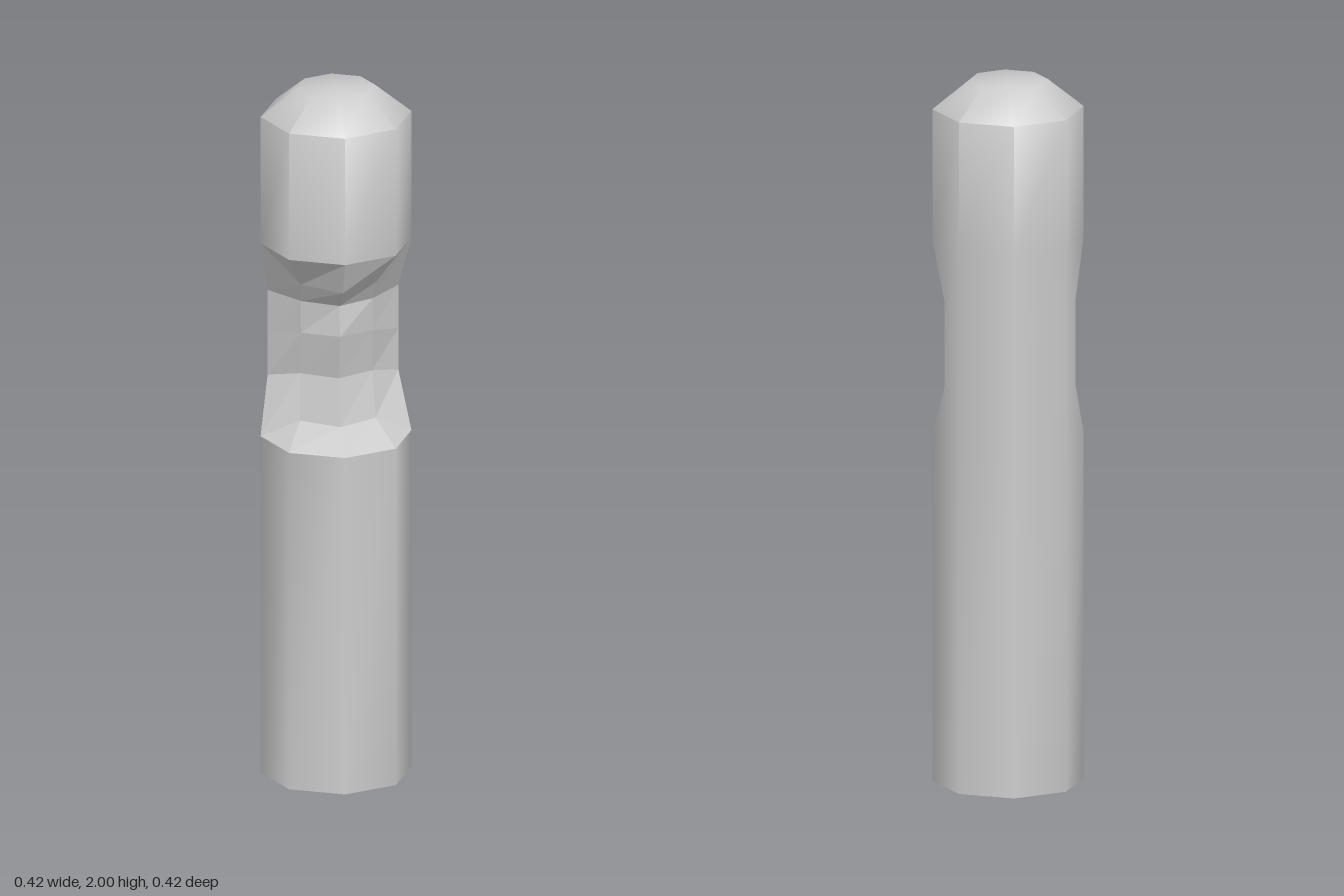
import * as THREE from 'three';
import { toCreasedNormals } from 'three/addons/utils/BufferGeometryUtils.js';

const SIDES = 8, RADIUS = 0.21;

// Point on the octagonal ring; column 0 is -x, 2 is the front, 4 is +x, 6 is the back
const ringPoint = (col, y, r = RADIUS) => {
  const a = (col - 2) * Math.PI / 4;
  return [r * Math.sin(a), y, r * Math.cos(a)];
};
const ring = (y, r) => Array.from({ length: SIDES }, (_, c) => ringPoint(c, y, r));

// Cross-section through the notch: side rim, shoulder and centre ridge, mirrored in x
const notchRing = (side, shoulder, ridge) => {
  const flip = ([x, y, z]) => [-x, y, z];
  const back = [5, 6, 7].map(c => ringPoint(c, c === 6 ? ridge[1] : side[1]));
  return [flip(side), flip(shoulder), ridge, shoulder, side, ...back];
};

// Skin between neighbouring cross-sections, over a range of columns
function skin(rows, from, to, out = []) {
  const same = (p, q) => p.every((v, i) => Math.abs(v - q[i]) < 1e-6);
  const tri = (a, b, c) => {
    if (!same(a, b) && !same(b, c) && !same(c, a)) out.push(...a, ...b, ...c);
  };
  for (let i = 0; i + 1 < rows.length; i++) {
    for (let j = from; j < to; j++) {
      const k = (j + 1) % SIDES;
      const [a, b, c, d] = [rows[i][j], rows[i][k], rows[i + 1][k], rows[i + 1][j]];
      tri(a, b, c);
      tri(a, c, d);
    }
  }
  return out;
}

function toGeometry(points) {
  const g = new THREE.BufferGeometry();
  g.setAttribute('position', new THREE.Float32BufferAttribute(points, 3));
  g.computeVertexNormals();
  return g;
}

export function createModel() {
  const group = new THREE.Group();
  group.name = 'notchedPost';
  const add = (name, geometry, flatShading = false) => {
    const mesh = new THREE.Mesh(geometry, new THREE.MeshStandardMaterial({ color: 0xcccccc, flatShading }));
    mesh.name = name;
    group.add(mesh);
  };

  // Notch sections from the lower lip up to the upper overhang
  const lower = ring(0.985), upper = ring(1.55);
  const middle = [
    notchRing(lower[4], [0.105, 1.04, 0.04], [0, 1.04, 0.108]),
    notchRing([0.182, 1.14, -0.07], [0.1, 1.165, 0], [0, 1.17, 0.07]),
    notchRing([0.182, 1.26, -0.07], [0.1, 1.29, 0.02], [0, 1.3, 0.095]),
    notchRing([0.182, 1.388, -0.07], [0.1, 1.385, 0.025], [0, 1.385, 0.08]),
    notchRing(upper[4], [0.105, 1.445, 0.06], [0, 1.45, 0.16]),
  ];
  // Keep the back of the lip and overhang sections level with their rims
  for (const row of middle) row[6] = ringPoint(6, row[4][1]);
  const notch = [lower, ...middle, upper];

  // Outer shell: lower shaft, back wall behind the notch, head and bevelled top
  const shell = skin([ring(0, 0), ring(0), lower], 0, SIDES);
  skin(notch, 4, SIDES, shell);
  skin([upper, ring(1.92), ring(2, 0.11), ring(2, 0)], 0, SIDES, shell);
  add('outerShell', toCreasedNormals(toGeometry(shell), THREE.MathUtils.degToRad(56)));

  // Faceted recess cut into the front
  add('notch', toGeometry(skin(notch, 0, 4)), true);
  return group;
}
